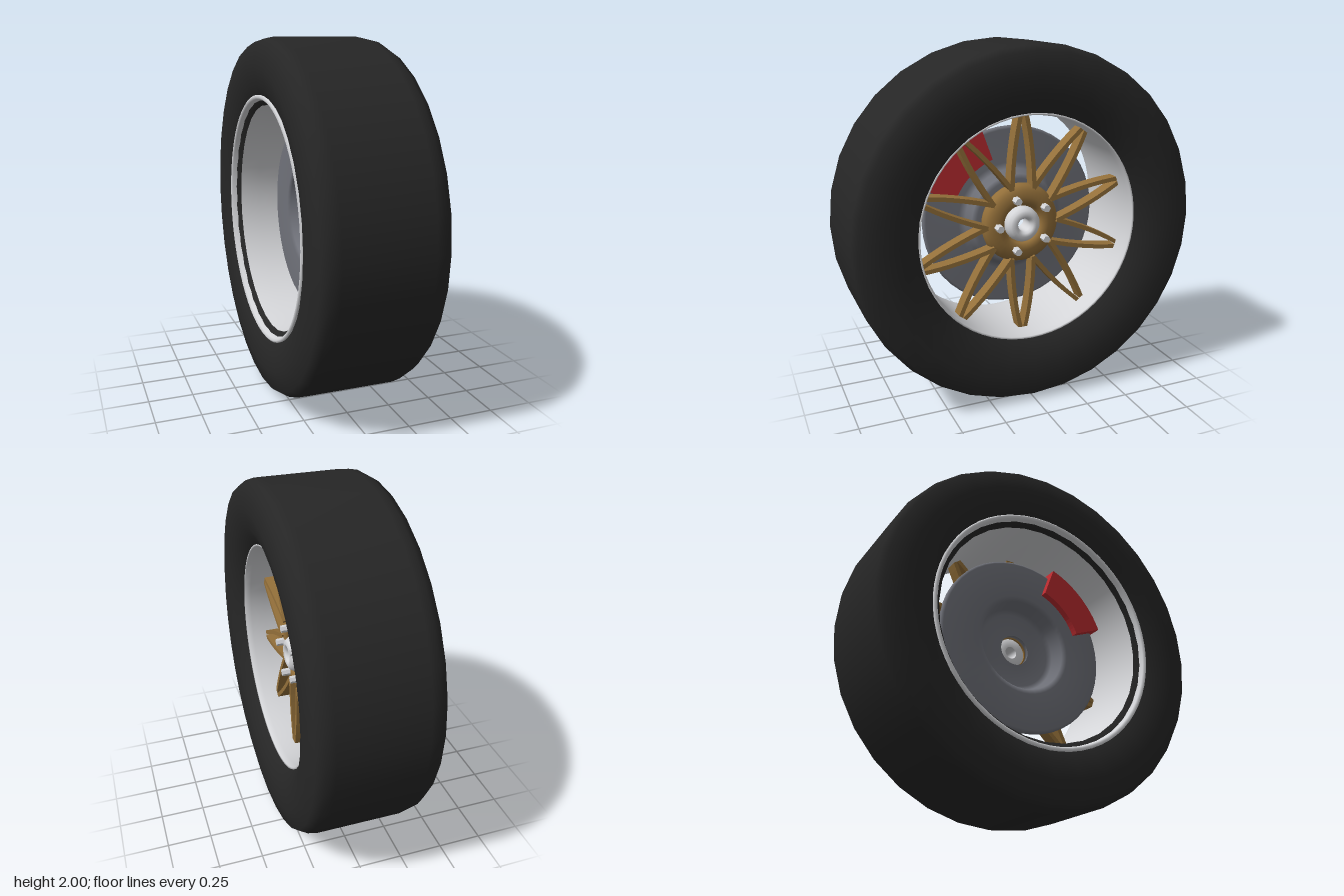
import * as THREE from 'three';

const mat = (name, color) => {
  const m = new THREE.MeshStandardMaterial({ color });
  m.name = name;
  return m;
};

export function createModel() {
  const rubber = mat('black rubber', 0x262626);
  const silver = mat('silver metal', 0xd4d5d8);
  const gold = mat('bronze gold', 0x94703a);
  const iron = mat('grey iron', 0x70727a);
  const red = mat('caliper red', 0xbc2c30);

  const model = new THREE.Group();
  model.name = 'wheel';
  const wheel = new THREE.Group();
  wheel.name = 'wheelAssembly';
  wheel.position.y = 1;
  model.add(wheel);

  const add = (name, geometry, material, parent = wheel) => {
    const mesh = new THREE.Mesh(geometry, material);
    mesh.name = name;
    parent.add(mesh);
    return mesh;
  };

  // Ring turned around the x axle; points are [radius, x], outside going towards +x
  const turned = (name, points, material, segments) => {
    const geo = new THREE.LatheGeometry(points.map(([r, x]) => new THREE.Vector2(r, x)), segments);
    geo.rotateZ(-Math.PI / 2);
    return add(name, geo, material);
  };

  // Tyre: flat tread, rounded shoulders, sidewalls that tuck in to the rim
  const half = [[1, 0.24], [0.99, 0.29], [0.963, 0.333], [0.85, 0.355], [0.74, 0.335], [0.67, 0.3], [0.637, 0.272]];
  const mirrored = half.map(([r, x]) => [r, -x]).reverse();
  turned('tyre', [...mirrored, ...half], rubber, 32);

  // Rim barrel: thin shell with a rolled lip at the back
  turned('rimBarrel', [
    [0.67, -0.27], [0.69, -0.3], [0.692, -0.32], [0.68, -0.328], [0.668, -0.318],
    [0.655, -0.27], [0.64, -0.15], [0.63, 0], [0.625, 0.15], [0.624, 0.24],
    [0.63, 0.275], [0.64, 0.278], [0.645, 0.265],
  ].reverse(), silver, 64);

  // Brake disc with a raised hat, hollow behind
  turned('brakeDisc', [
    [0.09, 0.03], [0.22, 0.03], [0.25, 0.015], [0.27, -0.06], [0.3, -0.07], [0.51, -0.07], [0.525, -0.06],
    [0.525, -0.04], [0.51, -0.03], [0.32, -0.03], [0.285, -0.015], [0.265, 0.04], [0.24, 0.055], [0.09, 0.055],
    [0.09, 0.03],
  ], iron, 48);

  // Caliper: ring sector that straddles the disc
  const sector = new THREE.Shape();
  const a0 = THREE.MathUtils.degToRad(110), a1 = THREE.MathUtils.degToRad(158);
  sector.absarc(0, 0, 0.556, a0, a1, false);
  sector.absarc(0, 0, 0.375, a1, a0, true);
  const caliperGeo = new THREE.ExtrudeGeometry(sector, { depth: 0.13, bevelEnabled: false, curveSegments: 8 });
  caliperGeo.rotateY(Math.PI / 2).translate(-0.11, 0, 0);
  add('brakeCaliper', caliperGeo, red);

  // Hub: domed plate with a bore
  turned('hub', [
    [0.085, 0.06], [0.2, 0.06], [0.222, 0.075], [0.228, 0.1], [0.22, 0.13], [0.195, 0.15], [0.155, 0.16],
    [0.125, 0.155], [0.112, 0.14], [0.105, 0.12], [0.085, 0.12], [0.085, 0.06],
  ], gold, 40);

  // Centre cap: rounded ring with an open hole
  turned('centreCap', [
    [0.036, 0.07], [0.095, 0.07], [0.102, 0.13], [0.098, 0.16], [0.085, 0.18], [0.065, 0.19],
    [0.047, 0.184], [0.036, 0.165], [0.036, 0.07],
  ], silver, 32);

  // Curved spoke blade, drawn as tangent offset against radius
  const w = 0.0125;
  const bladeShape = (side) => {
    const s = new THREE.Shape();
    s.moveTo(side * (0.066 + w), 0.2);
    s.quadraticCurveTo(side * (0.062 + w), 0.43, side * (0.012 + w), 0.634);
    s.lineTo(side * (0.012 - w), 0.634);
    s.quadraticCurveTo(side * (0.062 - w), 0.43, side * (0.066 - w), 0.2);
    s.closePath();
    return s;
  };
  const bladeGeos = [-1, 1].map((side) => {
    const geo = new THREE.ExtrudeGeometry(bladeShape(side), { depth: 0.075, bevelEnabled: false, curveSegments: 8 });
    return geo.rotateY(Math.PI / 2).translate(0.08, 0, 0);
  });

  // Ten petal-shaped pairs of blades
  for (let i = 0; i < 10; i++) {
    const petal = new THREE.Group();
    petal.name = 'spokePair';
    petal.rotation.x = (i * Math.PI) / 5;
    bladeGeos.forEach((geo) => add('spokeBlade', geo, gold, petal));
    wheel.add(petal);
  }

  // Five hexagonal wheel nuts
  const nutGeo = new THREE.CylinderGeometry(0.021, 0.023, 0.07, 6).rotateZ(-Math.PI / 2).toNonIndexed();
  nutGeo.computeVertexNormals();
  for (let i = 0; i < 5; i++) {
    const a = (i * Math.PI * 2) / 5;
    add('wheelNut', nutGeo, silver).position.set(0.17, 0.153 * Math.sin(a), 0.153 * Math.cos(a));
  }

  return model;
}
